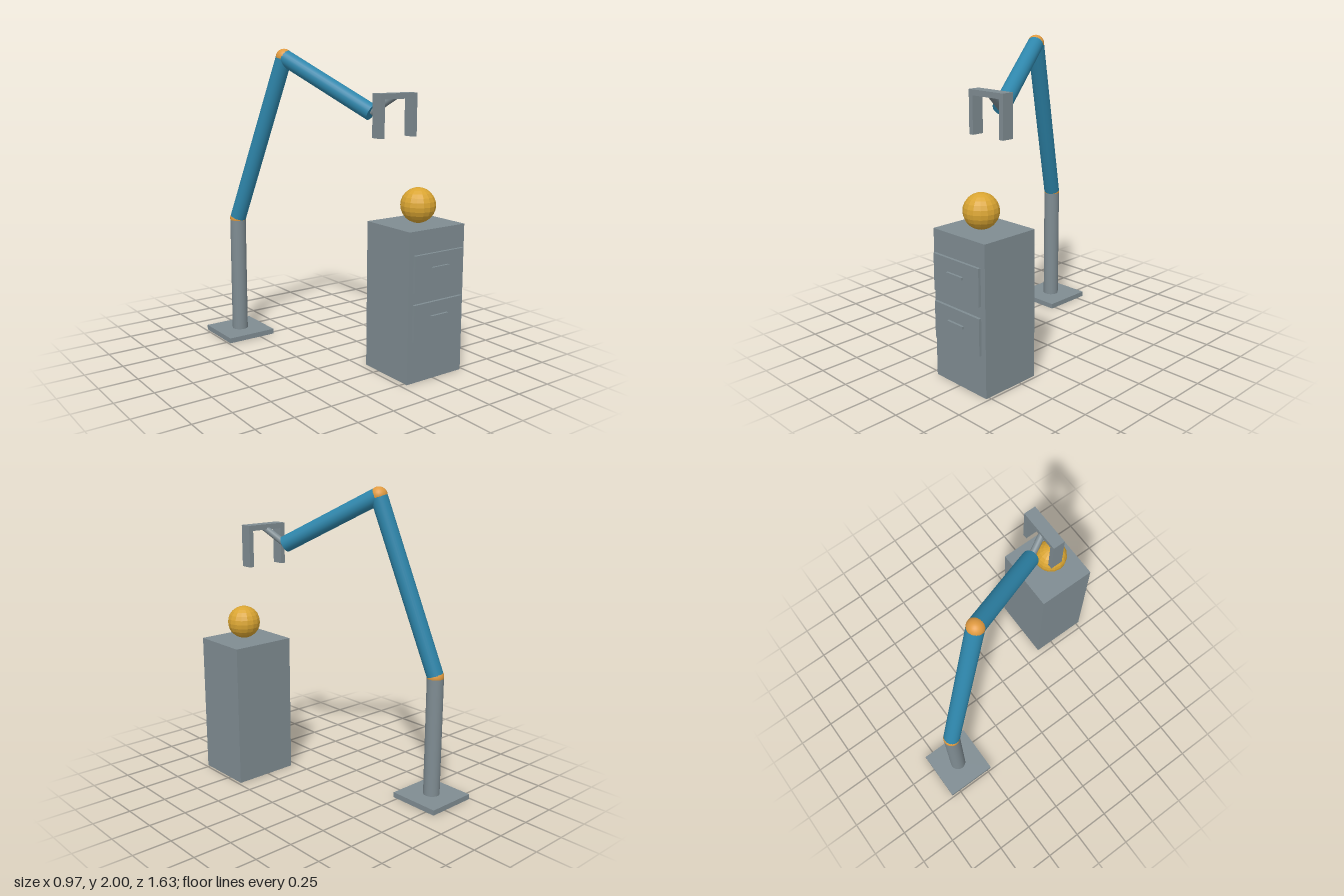
import * as THREE from 'three';

const mat = (name, color, flat = false) => {
  const m = new THREE.MeshStandardMaterial({ color, flatShading: flat });
  m.name = name;
  return m;
};

export function createModel() {
  const grey = mat('steel grey', 0x7f8c92);
  const blue = mat('arm blue', 0x2e86ab);
  const orange = mat('joint orange', 0xe09a40);
  const gold = mat('ball gold', 0xdaa532, true);
  const model = new THREE.Group();
  model.name = 'robotArmAndCabinet';

  const add = (name, geometry, material, parent = model) => {
    const mesh = new THREE.Mesh(geometry, material);
    mesh.name = name;
    parent.add(mesh);
    return mesh;
  };
  const group = (name) => {
    const g = new THREE.Group();
    g.name = name;
    model.add(g);
    return g;
  };
  // Box given by its limits on each axis
  const box = (name, [x0, x1], [y0, y1], [z0, z1], parent) =>
    add(name, new THREE.BoxGeometry(x1 - x0, y1 - y0, z1 - z0), grey, parent)
      .position.set((x0 + x1) / 2, (y0 + y1) / 2, (z0 + z1) / 2);
  // Cylinder between two points
  const rod = (name, a, b, radius, material, parent) => {
    const dir = b.clone().sub(a);
    const mesh = add(name, new THREE.CylinderGeometry(radius, radius, dir.length(), 24), material, parent);
    mesh.position.copy(a).add(b).multiplyScalar(0.5);
    mesh.quaternion.setFromUnitVectors(new THREE.Vector3(0, 1, 0), dir.normalize());
  };

  // Arm: base, post, two links and the joints between them
  const arm = group('arm');
  const foot = new THREE.Vector3(-0.315, 0.03, -0.642);
  const shoulder = new THREE.Vector3(-0.315, 0.835, -0.642);
  const elbow = new THREE.Vector3(-0.145, 1.945, -0.285);
  const wrist = new THREE.Vector3(0.125, 1.61, 0.297);
  const grip = new THREE.Vector3(0.19, 1.715, 0.445);
  box('basePlate', [-0.488, -0.142], [0, 0.035], [-0.815, -0.469], arm);
  rod('post', foot, shoulder, 0.054, grey, arm);
  rod('upperArm', shoulder, elbow, 0.054, blue, arm);
  rod('forearm', elbow, wrist, 0.054, blue, arm);
  rod('wristRod', wrist, grip, 0.022, grey, arm);
  for (const [name, p] of [['shoulderJoint', shoulder], ['elbowJoint', elbow]]) {
    add(name, new THREE.SphereGeometry(0.055, 24, 16), orange, arm).position.copy(p);
  }

  // Gripper: crossbar with two fingers
  const gripper = group('gripper');
  const gz = [0.405, 0.485];
  box('crossbar', [0.047, 0.335], [1.7, 1.735], gz, gripper);
  box('rightFinger', [0.047, 0.079], [1.465, 1.7], gz, gripper);
  box('leftFinger', [0.303, 0.335], [1.465, 1.7], gz, gripper);

  // Cabinet with two drawer fronts and handles
  const cabinet = group('cabinet');
  box('cabinetBody', [0.042, 0.482], [0, 0.945], [0.374, 0.774], cabinet);
  for (const [name, y] of [['lower', 0.27], ['upper', 0.572]]) {
    box(name + 'DrawerFront', [0.067, 0.456], [y, y + 0.231], [0.782, 0.8], cabinet);
    box(name + 'Handle', [0.194, 0.328], [y + 0.132, y + 0.148], [0.8, 0.815], cabinet);
  }

  // Ball resting on the cabinet
  add('ball', new THREE.SphereGeometry(0.11, 16, 12), gold).position.set(0.262, 1.057, 0.594);

  return model;
}
